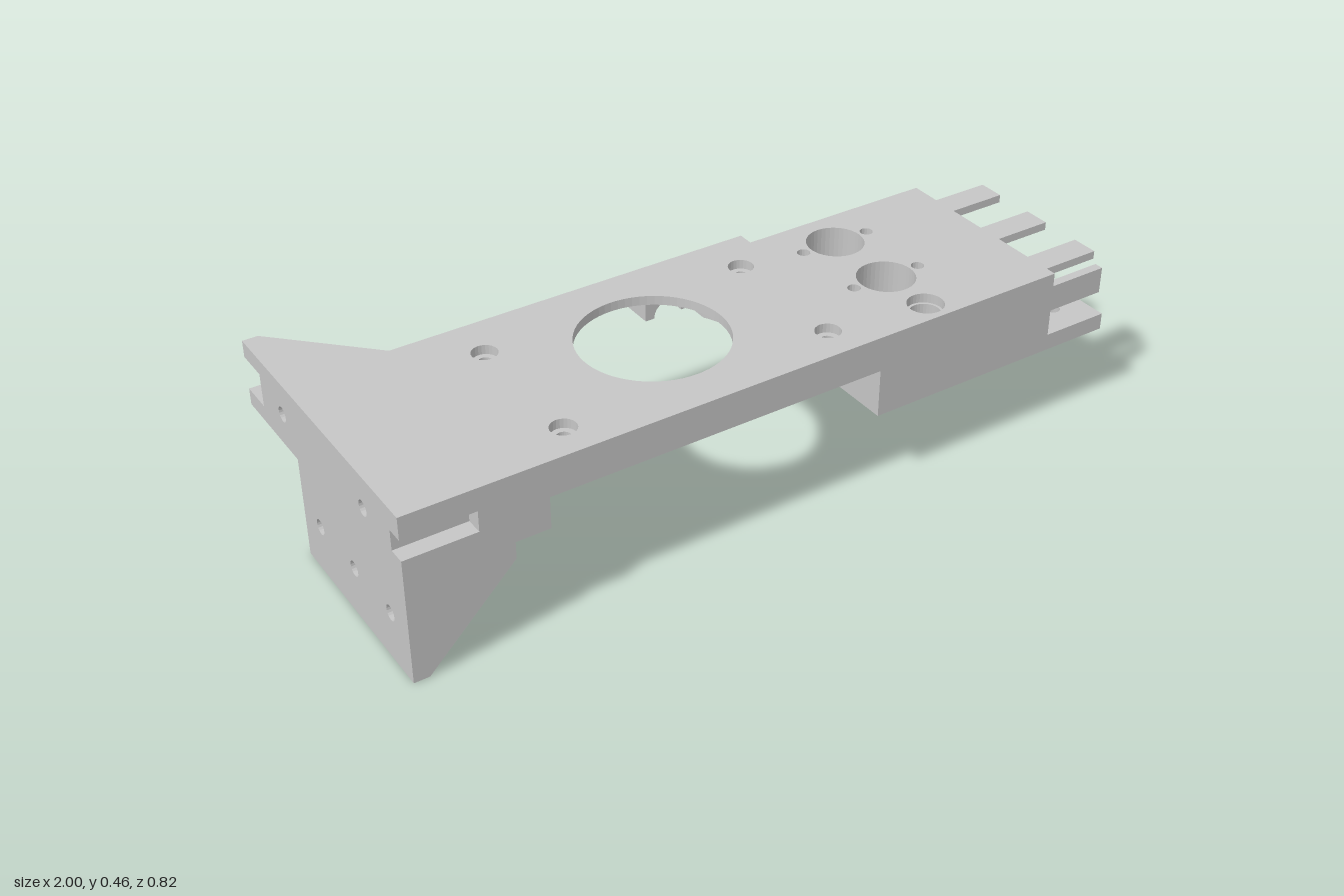
import * as THREE from 'three';

export function createModel() {
  const model = new THREE.Group();
  const grey = new THREE.MeshStandardMaterial({ color: 0xc6c6c6 });
  grey.name = 'plain grey';

  const add = (name, geo) => {
    const mesh = new THREE.Mesh(geo, grey);
    mesh.name = name;
    model.add(mesh);
    return mesh;
  };
  // Outlines run counter-clockwise and holes clockwise, so every wall faces outward
  const wind = (pts, clockwise) => {
    const v = pts.map(([a, b]) => new THREE.Vector2(a, b));
    return THREE.ShapeUtils.isClockWise(v) === clockwise ? v : v.reverse();
  };
  const extrude = (pts, holes, depth) => {
    const shape = new THREE.Shape(wind(pts, false));
    shape.holes = holes.map((h) => new THREE.Path(wind(h, true)));
    return new THREE.ExtrudeGeometry(shape, { depth, bevelEnabled: false });
  };

  // Plan outlines are [x, z], raised from y0 to y1
  const slab = (name, pts, holes, y0, y1) => {
    const flip = (list) => list.map(([x, z]) => [x, -z]);
    add(name, extrude(flip(pts), holes.map(flip), y1 - y0).rotateX(-Math.PI / 2).translate(0, y0, 0));
  };
  // End outlines are [z, y], extruded from x0 to x1
  const endPlate = (name, pts, holes, x0, x1) => {
    const mirror = (list) => list.map(([z, y]) => [-z, y]);
    add(name, extrude(mirror(pts), holes.map(mirror), x1 - x0).rotateY(Math.PI / 2).translate(x0, 0, 0));
  };
  // Side profiles are [x, y], extruded from z0 to z1
  const rib = (name, pts, z0, z1) => add(name, extrude(pts, [], z1 - z0).translate(0, 0, z0));
  const box = (name, x0, x1, y0, y1, z0, z1) =>
    add(name, new THREE.BoxGeometry(x1 - x0, y1 - y0, z1 - z0)
      .translate((x0 + x1) / 2, (y0 + y1) / 2, (z0 + z1) / 2));

  const rect = (a0, a1, b0, b1) => [[a0, b0], [a1, b0], [a1, b1], [a0, b1]];
  const arc = (cx, cz, r, t0, t1, n) => Array.from({ length: n + 1 }, (_, i) => {
    const t = t0 + (t1 - t0) * i / n;
    return [cx + r * Math.sin(t), cz - r * Math.cos(t)];
  });
  const circle = (cx, cz, r, n = 32) => arc(cx, cz, r, 0, Math.PI * 2, n).slice(0, n);

  // Shared positions
  const F = 0.41, B = -0.18, R = -0.137, END = 0.813;
  const hole = [-0.183, 0.11];
  const mounts = [[-0.547, -0.05], [0.18, -0.05], [-0.547, 0.315], [0.18, 0.315]];
  const sensors = [[0.453, -0.02], [0.453, 0.19]];
  const screwZ = [0.32, 0.137, -0.045];
  const mountHoles = (r) => mounts.map(([x, z]) => circle(x, z, r, 24));
  const sensorHoles = sensors.flatMap(([x, z]) =>
    [circle(x, z, 0.075, 40), circle(x - 0.1, z, 0.017, 16), circle(x + 0.1, z, 0.017, 16)]);

  // Top deck
  slab('topDeck', [[-1, F], [END, F], [END, R], [0.27, R], [0.27, B], [-0.73, B], [-0.96, -F], [-1, -F]],
    [circle(...hole, 0.19, 64), ...mountHoles(0.033), circle(0.453, 0.345, 0.047), ...sensorHoles],
    0.43, 0.455);

  // Middle deck with a stepped round recess that opens to the back
  slab('recessLip', rect(-0.64, 0.27, B, F), [circle(...hole, 0.21, 64), ...mountHoles(0.018)], 0.42, 0.43);
  const gap = 0.235, recessR = 0.272;
  const t = Math.asin(gap / recessR);
  slab('recessWall', [[-0.64, F], [0.27, F], [0.27, B], [hole[0] + gap, B],
    ...arc(...hole, recessR, t, Math.PI * 2 - t, 56), [hole[0] - gap, B], [-0.64, B]],
    mountHoles(0.018), 0.36, 0.42);
  // Saddles with a half-round channel, either side of the opening
  for (const s of [-1, 1]) {
    const x = hole[0] + s * 0.17;
    rib('saddle', [[x - 0.065, 0.36], ...arc(x, 0.36, 0.04, 1.5 * Math.PI, Math.PI / 2, 16),
      [x + 0.065, 0.36], [x + 0.065, 0.422], [x - 0.065, 0.422]], B, -0.09);
  }
  for (const [x, z] of mounts) {
    slab('mountBoss', circle(x, z, 0.036, 28), [circle(x, z, 0.018, 24)], 0.33, 0.36);
  }

  // Thick block with lozenge pockets below the sensor holes
  const lozenge = ([x, z]) => {
    const a = Math.acos(0.5);
    return [
      ...arc(x, z, 0.075, -Math.PI / 2 + a, Math.PI / 2 - a, 10),
      ...arc(x + 0.1, z, 0.025, Math.PI / 2 - a, Math.PI / 2 + a, 10),
      ...arc(x, z, 0.075, Math.PI / 2 + a, 1.5 * Math.PI - a, 10),
      ...arc(x - 0.1, z, 0.025, 1.5 * Math.PI - a, 1.5 * Math.PI + a, 10),
    ];
  };
  const drain = circle(0.453, 0.345, 0.04);
  slab('sensorBlock', rect(0.27, END, R, F), [...sensorHoles, drain], 0.345, 0.43);
  slab('sensorBlock', rect(0.27, END, R, F), [...sensors.map(lozenge), drain], 0.23, 0.345);

  // Joining tongue and tabs
  slab('lowerTongue', rect(END, 1, R, F), screwZ.map((z) => circle(0.91, z, 0.02, 20)), 0.23, 0.275);
  for (const z of screwZ) box('topTab', END, 1, 0.413, 0.435, z - 0.036, z + 0.036);
  box('sideTab', END, 1, 0.33, 0.402, 0.366, 0.39);

  // End block: two wings, a recessed middle and a front slot
  const wing = [[-1, F], [-0.64, F], [-0.64, B], [-0.73, B], [-0.96, -F], [-1, -F]];
  const core = [[-1, F], [-0.64, F], [-0.64, B], [-0.96, B], [-0.96, -0.32], [-1, -0.32]];
  slab('upperWing', wing, [], 0.41, 0.43);
  slab('lowerWing', wing, [], 0.275, 0.32);
  slab('endCore', core, [], 0.395, 0.41);
  slab('endCore', core, [], 0.32, 0.34);
  slab('slottedCore', [[-0.96, 0.365], [-0.815, 0.365], [-0.815, F], [-0.64, F], [-0.64, B], [-0.96, B]],
    [], 0.34, 0.395);
  endPlate('slottedEndPlate', rect(-0.32, 0.365, 0.34, 0.395),
    [circle(0.228, 0.365, 0.02, 20), circle(-0.2, 0.365, 0.02, 20)], -1, -0.96);

  // Foot: drilled plate, sloping ribs and pocket ceiling
  box('footCap', -1, -0.73, 0.23, 0.275, R, F);
  endPlate('footPlate', rect(R, F, 0, 0.23), screwZ.map((z) => circle(z, 0.137, 0.02, 20)), -1, -0.96);
  const ribProfile = [[-0.96, 0], [-0.73, 0.23], [-0.96, 0.23]];
  for (const [z0, z1] of [[0.365, F], [0, 0.09], [R, -0.09]]) rib('footRib', ribProfile, z0, z1);
  rib('pocketCeiling', [[-0.96, 0.185], [-0.775, 0.185], [-0.73, 0.23], [-0.96, 0.23]], 0.09, 0.365);

  return model;
}
